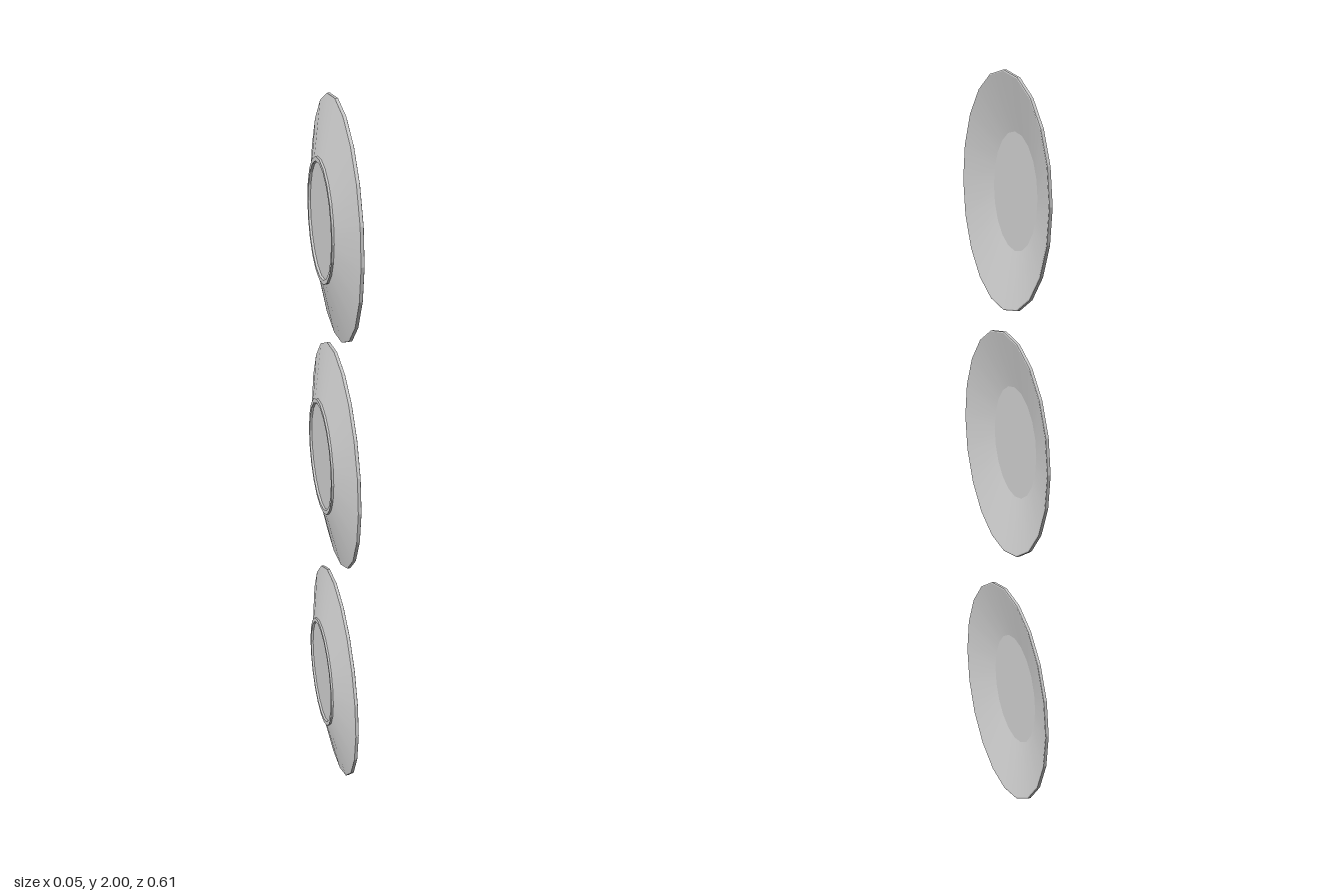
import * as THREE from 'three';
import { toCreasedNormals } from 'three/addons/utils/BufferGeometryUtils.js';

// Profile as [radius, height], from the underside centre round the rim to the well
const PROFILE = [
  [0, -0.018], [0.144, -0.018],                  // recessed base
  [0.146, -0.0235], [0.157, -0.0235],            // foot ring
  [0.157, -0.018],
  [0.305, 0.0145], [0.305, 0.0225],              // sloping wall and rim edge
  [0.302, 0.0235],
  [0.152, -0.009], [0, -0.009],                  // inner slope and flat well
];

export function createModel() {
  const group = new THREE.Group();
  group.name = 'wallPlates';
  const material = new THREE.MeshStandardMaterial({ color: 0xcccccc });

  const lathe = new THREE.LatheGeometry(PROFILE.map(([r, h]) => new THREE.Vector2(r, h)), 20);
  lathe.rotateZ(-Math.PI / 2); // open side faces +x
  const geometry = toCreasedNormals(lathe, 0.2);

  // Three plates hung in a column
  const plates = { lowerPlate: 0.306, middlePlate: 1.027, upperPlate: 1.695 };
  for (const [name, y] of Object.entries(plates)) {
    const plate = new THREE.Mesh(geometry, material);
    plate.name = name;
    plate.position.y = y;
    group.add(plate);
  }
  return group;
}
